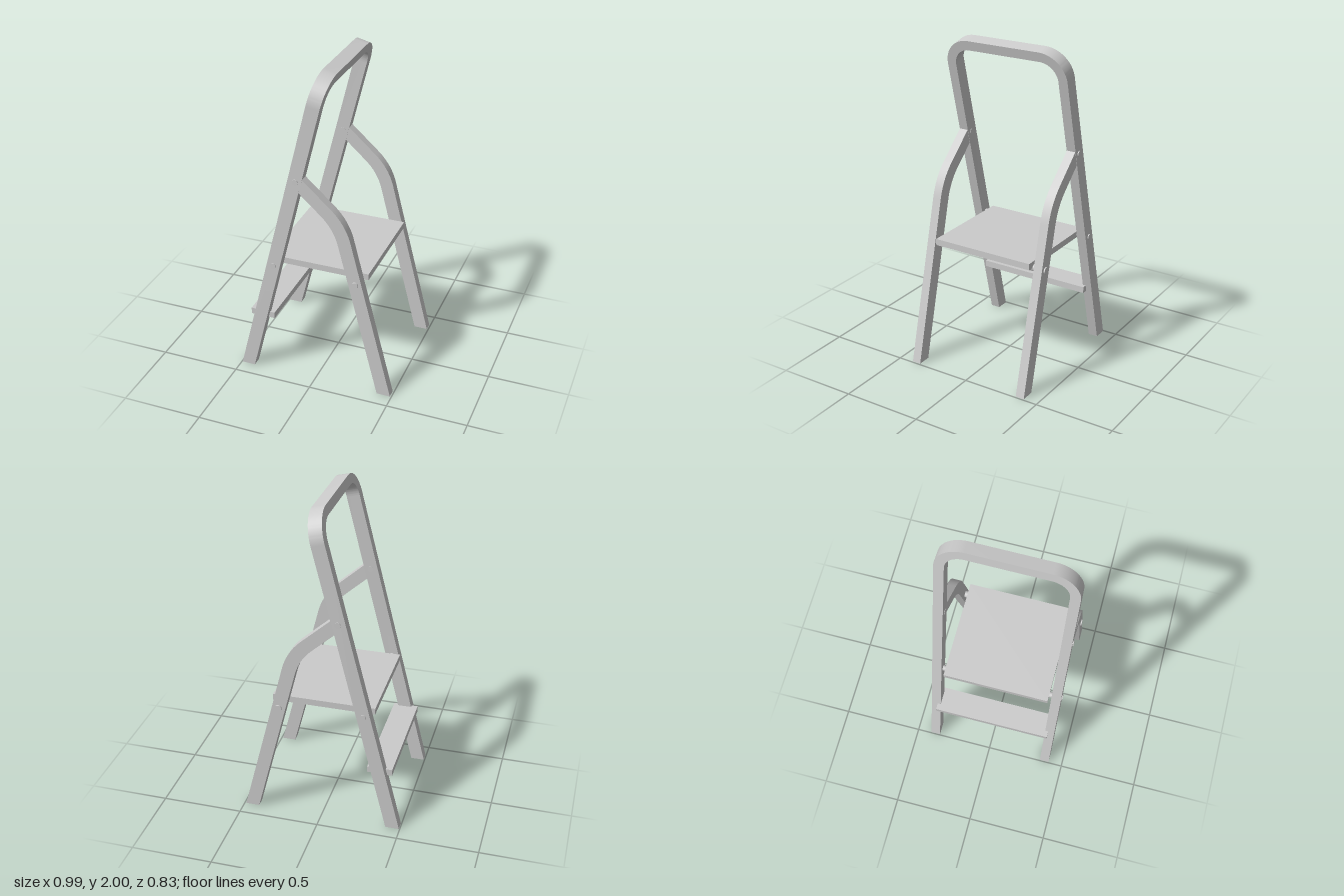
import * as THREE from 'three';
import { toCreasedNormals } from 'three/addons/utils/BufferGeometryUtils.js';

const material = new THREE.MeshStandardMaterial({ color: 0xcccccc });
const HALF = 0.41;      // outer half width of the ladder
const BAR = 0.06;       // bar thickness across the width
const DEPTH = 0.0825;   // depth of the looped frame bar
const TILT = Math.atan(0.25);

function part(name, geometry) {
  const mesh = new THREE.Mesh(geometry, material);
  mesh.name = name;
  return mesh;
}

// Inverted U: both front rails and the rounded handle in one bar
function loopFrameGeometry() {
  const top = 2 / Math.cos(TILT);
  const shape = new THREE.Shape();
  const outerR = 0.17, innerR = 0.11;
  const inner = HALF - BAR, innerTop = top - BAR;
  shape.moveTo(HALF, 0);
  shape.lineTo(HALF, top - outerR);
  shape.absarc(HALF - outerR, top - outerR, outerR, 0, Math.PI / 2);
  shape.lineTo(-HALF + outerR, top);
  shape.absarc(-HALF + outerR, top - outerR, outerR, Math.PI / 2, Math.PI);
  shape.lineTo(-HALF, 0);
  shape.lineTo(-inner, 0);
  shape.lineTo(-inner, innerTop - innerR);
  shape.absarc(-inner + innerR, innerTop - innerR, innerR, Math.PI, Math.PI / 2, true);
  shape.lineTo(inner - innerR, innerTop);
  shape.absarc(inner - innerR, innerTop - innerR, innerR, Math.PI / 2, 0, true);
  shape.lineTo(inner, 0);
  shape.closePath();
  const geometry = new THREE.ExtrudeGeometry(shape, { depth: DEPTH, bevelEnabled: false, curveSegments: 14 });

  // Lean the frame and cut its feet level with the floor
  const p = geometry.attributes.position;
  const sin = Math.sin(TILT), cos = Math.cos(TILT);
  for (let i = 0; i < p.count; i++) {
    const t = p.getZ(i);
    const s = p.getY(i) < 1e-6 ? t * Math.tan(TILT) : p.getY(i);
    p.setXYZ(i, -0.495 + s * sin + t * cos, s * cos - t * sin, -p.getX(i));
  }
  return toCreasedNormals(geometry, 0.5);
}

// Bent support leg, its upper end running slightly into the rail
function supportLegGeometry() {
  const shape = new THREE.Shape();
  shape.moveTo(0.405, 0);
  shape.lineTo(0.49, 0);
  shape.lineTo(0.23, 1.018);
  shape.quadraticCurveTo(0.2, 1.136, 0.11, 1.218);
  shape.lineTo(-0.076, 1.385);
  shape.lineTo(-0.1, 1.299);
  shape.lineTo(0.045, 1.168);
  shape.quadraticCurveTo(0.125, 1.096, 0.152, 0.991);
  shape.closePath();
  const geometry = new THREE.ExtrudeGeometry(shape, { depth: BAR - 0.004, bevelEnabled: false, curveSegments: 14 });
  return toCreasedNormals(geometry, 0.5);
}

function board(name, x0, x1, y0, y1, halfZ) {
  const mesh = part(name, new THREE.BoxGeometry(x1 - x0, y1 - y0, 2 * halfZ));
  mesh.position.set((x0 + x1) / 2, (y0 + y1) / 2, 0);
  return mesh;
}

function rod(name, x, y, z, radius, length) {
  const mesh = part(name, new THREE.CylinderGeometry(radius, radius, length, 24).rotateX(Math.PI / 2));
  mesh.position.set(x, y, z);
  return mesh;
}

export function createModel() {
  const model = new THREE.Group();
  model.name = 'stepLadder';

  model.add(part('loopFrame', loopFrameGeometry()));

  // Treads
  model.add(board('upperStep', -0.315, 0.315, 0.75, 0.79, 0.332));
  model.add(board('lowerStep', -0.435, -0.28, 0.36, 0.4, 0.37));

  // Cross rods carrying the upper step
  model.add(rod('pivotRod', -0.261, 0.767, 0, 0.018, 0.832));
  model.add(rod('supportRod', 0.258, 0.746, 0, 0.021, 0.832));

  // Support legs and their hinge pins on both sides
  const legGeometry = supportLegGeometry();
  for (const side of [-1, 1]) {
    const leg = part('supportLeg', legGeometry);
    leg.position.z = side * (HALF - BAR / 2) - (BAR - 0.004) / 2;
    model.add(leg);
    model.add(rod('hingePin', -0.108, 1.355, side * 0.382, 0.018, 0.068));
  }
  return model;
}
